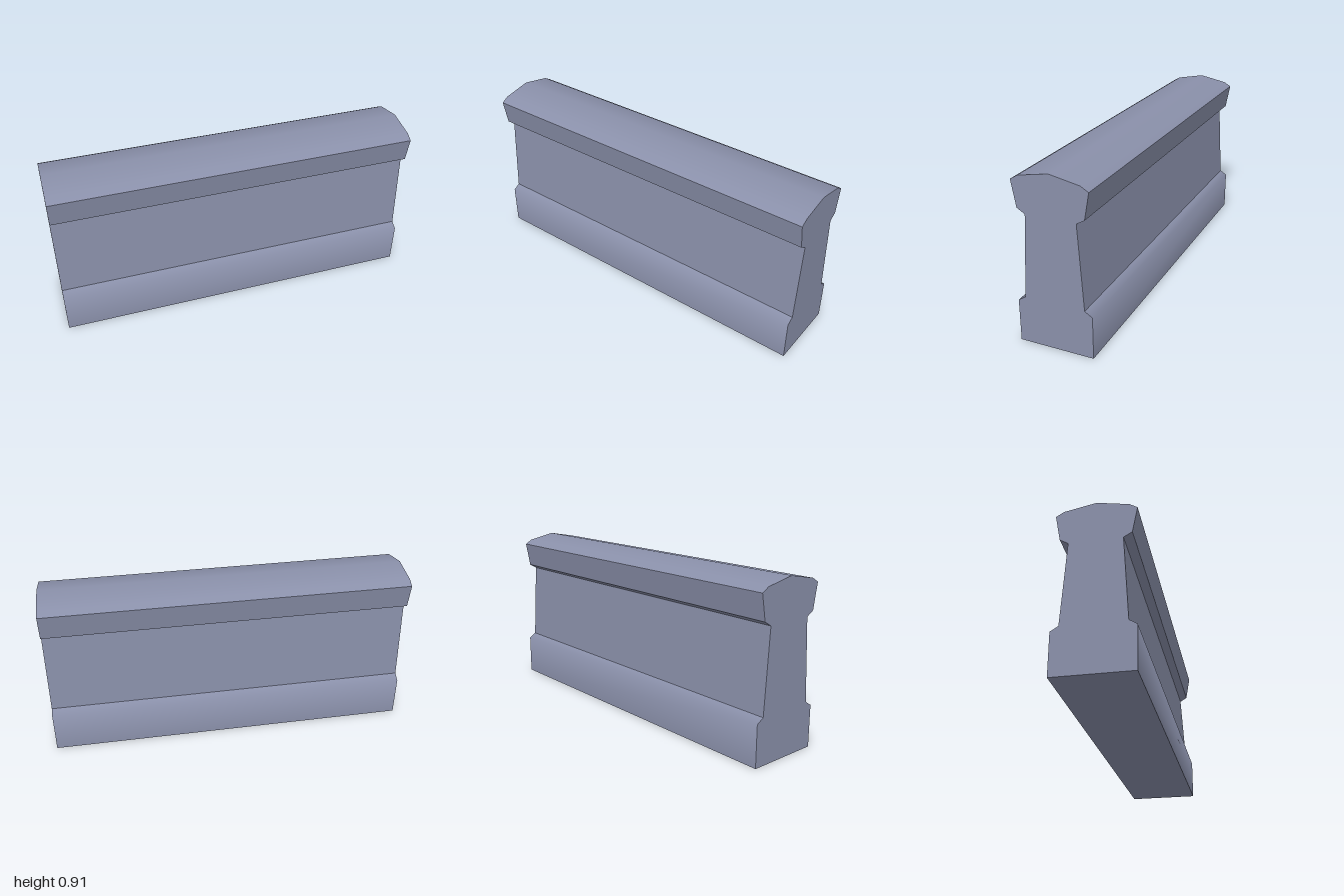
import * as THREE from 'three';
import { mergeGeometries } from 'three/addons/utils/BufferGeometryUtils.js';

const HALF_LENGTH = 1;

// Mirrors a run of [z, y] points to the back, keeping the walking direction
const mirror = (run) => run.map(([z, y]) => [-z, y]).reverse();

// Sweeps a run of [z, y] points along x, smooth inside the run and sharp at its ends
function strip(run) {
  const faceNormals = run.slice(1).map(([z, y], i) =>
    new THREE.Vector3(0, run[i][0] - z, y - run[i][1]).normalize());
  const position = [], normal = [], uv = [], index = [];
  run.forEach(([z, y], i) => {
    const before = faceNormals[Math.max(i - 1, 0)];
    const after = faceNormals[Math.min(i, faceNormals.length - 1)];
    const n = before.clone().add(after).normalize();
    for (const side of [-1, 1]) {
      position.push(side * HALF_LENGTH, y, z);
      normal.push(n.x, n.y, n.z);
      uv.push((side + 1) / 2, i / (run.length - 1));
    }
    if (i > 0) {
      const a = 2 * i - 2;
      index.push(a, a + 1, a + 3, a, a + 3, a + 2);
    }
  });
  const geometry = new THREE.BufferGeometry();
  geometry.setAttribute('position', new THREE.Float32BufferAttribute(position, 3));
  geometry.setAttribute('normal', new THREE.Float32BufferAttribute(normal, 3));
  geometry.setAttribute('uv', new THREE.Float32BufferAttribute(uv, 2));
  geometry.setIndex(index);
  return geometry;
}

// Flat end face; every section is symmetric in z
function endFace(outline, side) {
  const shape = new THREE.Shape(outline.map(([z, y]) => new THREE.Vector2(z, y)));
  return new THREE.ShapeGeometry(shape)
    .rotateY(side * Math.PI / 2)
    .translate(side * HALF_LENGTH, 0, 0);
}

// One course of the barrier: front runs, optional top run, mirrored back runs, two ends
function course(name, material, frontRuns, topRun = null, bottomRun = null) {
  const runs = [...frontRuns];
  if (topRun) runs.push(topRun);
  runs.push(...frontRuns.map(mirror).reverse());
  const outline = runs.flat();
  const unique = outline.filter((p, i) =>
    i === 0 || p[0] !== outline[i - 1][0] || p[1] !== outline[i - 1][1]);
  if (bottomRun) runs.push(bottomRun);
  const geometry = mergeGeometries([
    ...runs.map(strip), endFace(unique, 1), endFace(unique, -1),
  ]);
  const mesh = new THREE.Mesh(geometry, material);
  mesh.name = name;
  return mesh;
}

export function createModel() {
  const stone = new THREE.MeshStandardMaterial({ color: 0x8a90aa });
  stone.name = 'blue grey stone';

  const group = new THREE.Group();
  group.name = 'stoneWall';

  // Wide foot with a softly shaded sloping shoulder
  group.add(course('plinth', stone,
    [[[0.2, 0], [0.2, 0.225], [0.16, 0.25]]],
    null, [[-0.2, 0], [0.2, 0]]));

  // Tapering middle
  group.add(course('wallBody', stone, [[[0.16, 0.25], [0.133, 0.69]]]));

  // Overhanging coping with a rounded-looking ridge
  group.add(course('coping', stone,
    [[[0.133, 0.69], [0.175, 0.715]], [[0.175, 0.715], [0.2, 0.852]]],
    [[0.2, 0.852], [0.16, 0.876], [0, 0.907], [-0.16, 0.876], [-0.2, 0.852]]));

  return group;
}
